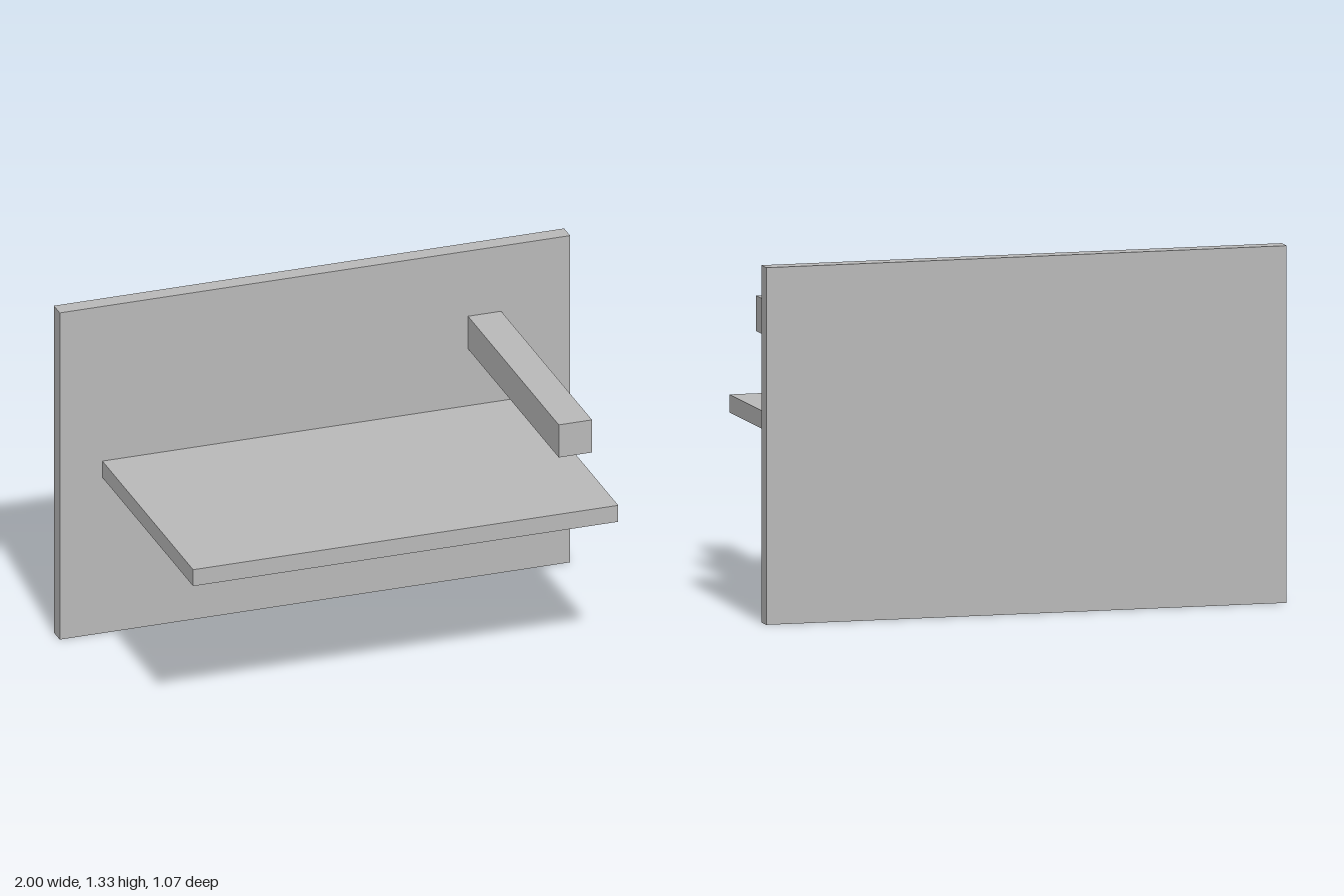
import * as THREE from 'three';

export function createModel() {
  const model = new THREE.Group();
  model.name = 'wallShelf';

  const grey = new THREE.MeshStandardMaterial({ color: 0xb8b8b8 });
  grey.name = 'plain grey';

  // Box given by its lower and upper corners
  function addBox(name, min, max) {
    const size = max.map((v, i) => v - min[i]);
    const mesh = new THREE.Mesh(new THREE.BoxGeometry(...size), grey);
    mesh.position.set(...max.map((v, i) => (v + min[i]) / 2));
    mesh.name = name;
    model.add(mesh);
  }

  const wallFront = -0.467; // where the shelf and bar meet the panel
  const frontEdge = 0.533;

  // Upright back panel
  addBox('backPanel', [-1, 0, -0.533], [1, 1.333, wallFront]);
  // Wide flat shelf
  addBox('shelf', [-0.833, 0.635, wallFront], [0.833, 0.702, frontEdge]);
  // Square bar above the shelf, on the model's left
  addBox('bar', [0.6, 0.934, wallFront], [0.73, 1.067, frontEdge]);

  return model;
}
